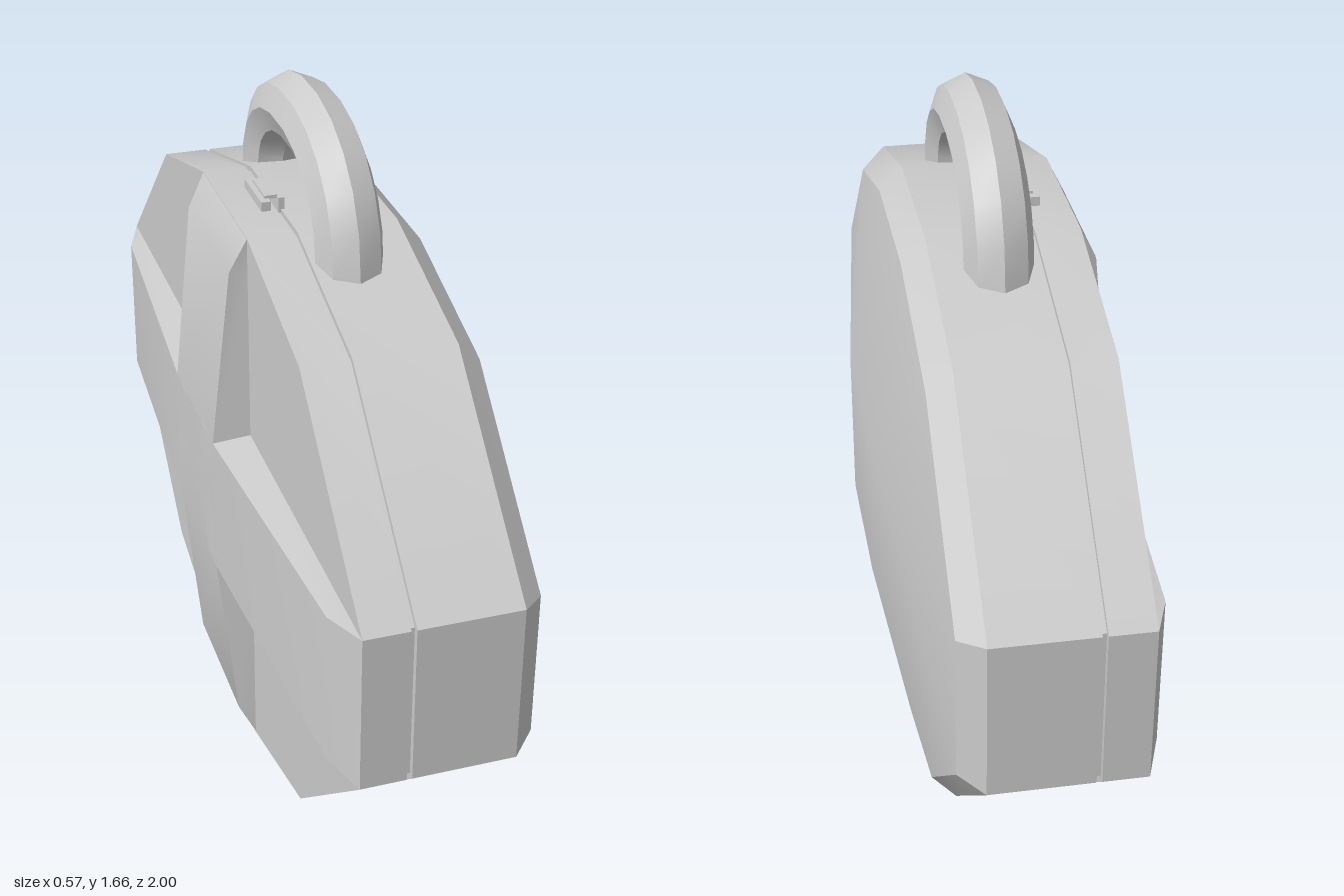
import * as THREE from 'three';
import { toCreasedNormals } from 'three/addons/utils/BufferGeometryUtils.js';

const MID_Y = 0.715;
const material = new THREE.MeshStandardMaterial({ color: 0xcccccc });

function addMesh(parent, name, geometry) {
  const mesh = new THREE.Mesh(geometry, material);
  mesh.name = name;
  parent.add(mesh);
  return mesh;
}

// Skins a list of closed rings (counter-clockwise about the direction of travel) and caps both ends.
function loft(rings) {
  const pos = [];
  const tri = (a, b, c) => {
    const area = new THREE.Triangle(a, b, c).getArea();
    if (area > 1e-7) for (const p of [a, b, c]) pos.push(p.x, p.y, p.z);
  };
  const n = rings[0].length;
  for (let i = 0; i < rings.length - 1; i++) {
    for (let j = 0; j < n; j++) {
      const k = (j + 1) % n;
      tri(rings[i][j], rings[i][k], rings[i + 1][k]);
      tri(rings[i][j], rings[i + 1][k], rings[i + 1][j]);
    }
  }
  const first = rings[0], last = rings[rings.length - 1];
  for (let j = 1; j < n - 1; j++) {
    tri(first[0], first[j + 1], first[j]);
    tri(last[0], last[j], last[j + 1]);
  }
  const g = new THREE.BufferGeometry();
  g.setAttribute('position', new THREE.Float32BufferAttribute(pos, 3));
  return toCreasedNormals(g, 0.56);
}

// Twelve-sided ring at a given x, mirrored from one quadrant of [z, height above the middle].
function caseRing(x, quadrant) {
  const back = [...quadrant].reverse();
  const pts = [
    ...back.map(([z, y]) => [-z, y]),
    ...quadrant.map(([z, y]) => [z, y]),
    ...back.map(([z, y]) => [z, -y]),
    ...quadrant.map(([z, y]) => [-z, -y]),
  ];
  return pts.map(([z, y]) => new THREE.Vector3(x, MID_Y + y, z));
}

// Raised arm of the cross: widest and highest at the middle, fading out at both ends.
function crossArm(length, bevel) {
  const stations = [
    [-length, 0], [-bevel, 0.04], [-0.17, 0.085],
    [0.17, 0.085], [bevel, 0.04], [length, 0],
  ];
  return loft(stations.map(([y, h]) => {
    const w = 0.19 - 0.22 * h;
    return [
      new THREE.Vector3(-0.198, y, 0.19), new THREE.Vector3(-0.198, y, -0.19),
      new THREE.Vector3(-0.2 - h, y, -w), new THREE.Vector3(-0.2 - h, y, w),
    ];
  }));
}

export function createModel() {
  const model = new THREE.Group();
  model.name = 'carryCase';

  // Case: flat lid side, seam groove, bevelled rim and shallow dome
  const full = [[0.19, 0.687], [0.58, 0.575], [1, 0.19]];
  const groove = full.map(([z, y]) => [z * 0.985, y * 0.982]);
  const rim = [[0.19, 0.632], [0.565, 0.522], [0.945, 0.175]];
  const crown = full.map(() => [0.185, 0.185]);
  addMesh(model, 'caseBody', loft([
    caseRing(-0.2, full),
    caseRing(-0.098, full),
    caseRing(-0.098, groove),
    caseRing(-0.086, groove),
    caseRing(-0.086, full),
    caseRing(0.145, full),
    caseRing(0.2, rim),
    caseRing(0.285, crown),
  ]));

  // Raised cross on the lid
  const cross = new THREE.Group();
  cross.name = 'lidCross';
  cross.position.y = MID_Y;
  addMesh(cross, 'verticalArm', crossArm(0.685, 0.605));
  addMesh(cross, 'horizontalArm', crossArm(1, 0.895)).rotation.x = Math.PI / 2;
  model.add(cross);

  // Handle: octagonal section swept over a flattened arch
  const handleRings = [];
  const steps = 11;
  for (let i = 0; i <= steps; i++) {
    const a = Math.PI * i / steps;
    const c = Math.cos(a), s = Math.sin(a);
    const z = -0.295 * Math.sign(c) * Math.pow(Math.abs(c), 0.9);
    const y = 1.35 + 0.238 * Math.pow(Math.max(s, 0), 0.9);
    const out = new THREE.Vector2(-c / 0.295, s / 0.238).normalize();
    const ring = [];
    for (let j = 0; j < 8; j++) {
      const t = Math.PI * j / 4;
      const r = 0.077 * Math.cos(t);
      ring.push(new THREE.Vector3(0.077 * Math.sin(t), y + out.y * r, z + out.x * r));
    }
    handleRings.push(ring.reverse());
  }
  // The arch travels towards +z over the top, so the ring runs from out to -x
  addMesh(model, 'handle', loft(handleRings));

  // Clasp: hooked tab over the seam with a wider lip
  const clasp = new THREE.Group();
  clasp.name = 'clasp';
  const parts = [
    ['lip', 0.022, 0.022, 0.14, -0.122, 1.415],
    ['tab', 0.03, 0.008, 0.1, -0.105, 1.428],
    ['tabBase', 0.014, 0.036, 0.13, -0.085, 1.412],
  ];
  for (const [name, w, h, d, x, y] of parts) {
    addMesh(clasp, name, new THREE.BoxGeometry(w, h, d)).position.set(x, y, 0);
  }
  model.add(clasp);

  // Hinge barrel under the seam
  const barrel = toCreasedNormals(new THREE.CylinderGeometry(0.026, 0.026, 0.35, 8), 0.56);
  const hinge = addMesh(model, 'hinge', barrel);
  hinge.rotation.x = Math.PI / 2;
  hinge.position.set(-0.092, 0.026, 0);

  return model;
}
